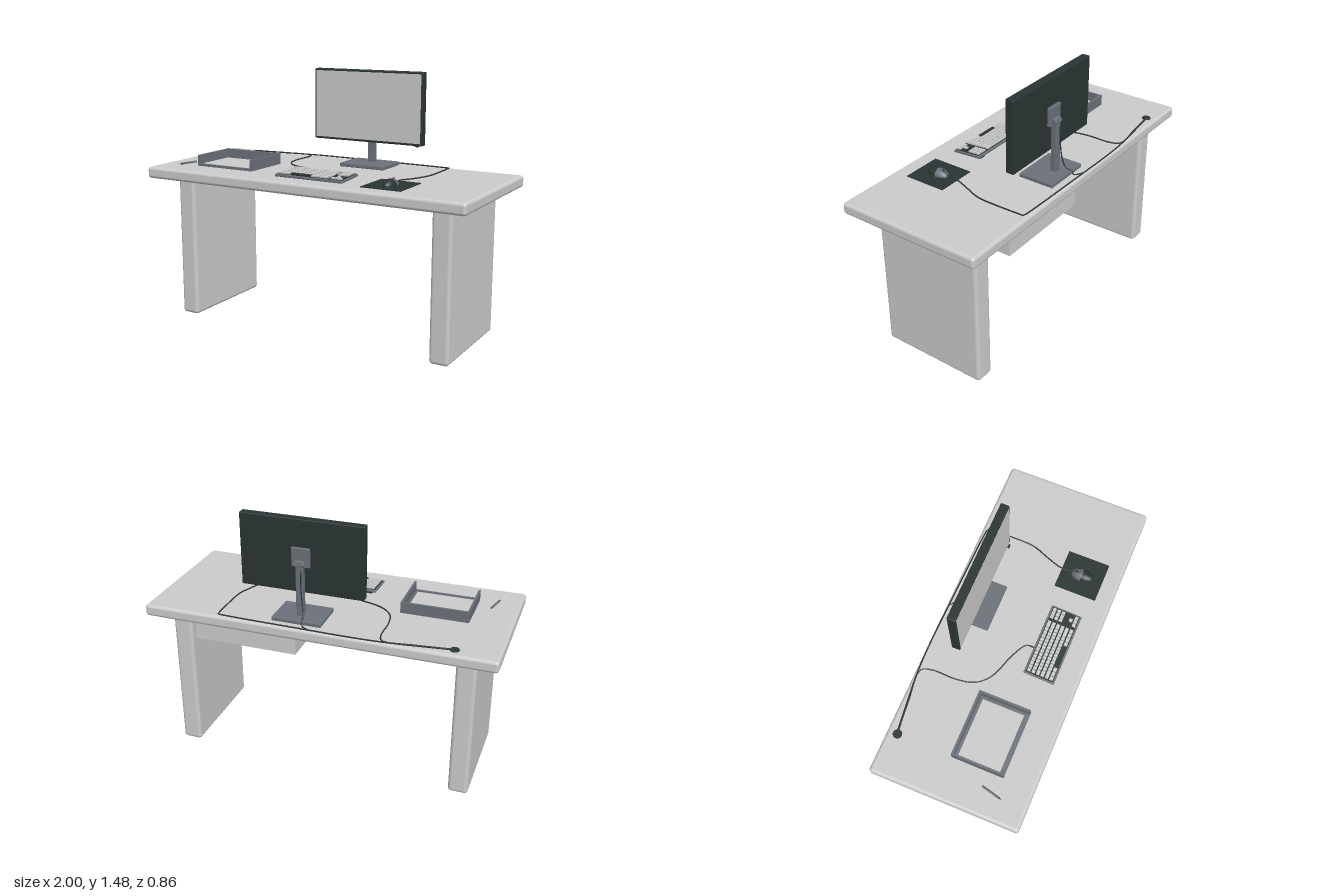
import * as THREE from 'three';
import { RoundedBoxGeometry } from 'three/addons/geometries/RoundedBoxGeometry.js';

const DESK = 0.912; // height of the work surface

export function createModel() {
  const root = new THREE.Group();
  root.name = 'computerDesk';
  const material = (name, color) => {
    const m = new THREE.MeshStandardMaterial({ color });
    m.name = name;
    return m;
  };
  const light = material('light grey', 0xcccccc);
  const grey = material('slate grey', 0x6c727a);
  const dark = material('charcoal', 0x2b3434);

  const group = (name, parent = root) => {
    const g = new THREE.Group();
    g.name = name;
    parent.add(g);
    return g;
  };
  const add = (parent, name, geometry, mat, x = 0, y = 0, z = 0) => {
    const m = new THREE.Mesh(geometry, mat);
    m.name = name;
    m.position.set(x, y, z);
    parent.add(m);
    return m;
  };
  // Box given by its limits on each axis, optionally with rounded edges
  const box = (parent, name, mat, [x0, x1], [y0, y1], [z0, z1], r = 0) => {
    const size = [x1 - x0, y1 - y0, z1 - z0];
    const g = r ? new RoundedBoxGeometry(...size, 4, r) : new THREE.BoxGeometry(...size);
    return add(parent, name, g, mat, (x0 + x1) / 2, (y0 + y1) / 2, (z0 + z1) / 2);
  };
  const cable = (name, points, r = 0.004) => {
    const curve = new THREE.CatmullRomCurve3(points.map(p => new THREE.Vector3(...p)), false, 'centripetal');
    return add(root, name, new THREE.TubeGeometry(curve, 90, r, 6), dark);
  };

  // Desk
  const desk = group('desk');
  box(desk, 'deskTop', light, [-1, 1], [0.845, DESK], [-0.43, 0.43], 0.018);
  for (const s of [-1, 1])
    box(desk, s < 0 ? 'rightLeg' : 'leftLeg', light, [s * 0.82 - 0.056, s * 0.82 + 0.056], [0, 0.847], [-0.34, 0.3], 0.02);
  box(desk, 'underDeskBox', light, [0.1, 0.695], [0.75, 0.85], [-0.415, -0.235]);

  // Monitor
  const monitor = group('monitor');
  const cx = 0.112;
  box(monitor, 'monitorCase', dark, [-0.24, 0.464], [1.058, 1.475], [-0.271, -0.222], 0.006);
  box(monitor, 'screen', light, [-0.229, 0.453], [1.071, 1.464], [-0.225, -0.2205]);
  box(monitor, 'powerButton', dark, [0.425, 0.445], [1.054, 1.066], [-0.225, -0.212]);
  for (let i = 0; i < 7; i++)
    box(monitor, 'rearVent', dark, [cx - 0.127 + i * 0.04, cx - 0.113 + i * 0.04], [1.365, 1.383], [-0.276, -0.268]);

  // Monitor stand
  const stand = group('monitorStand');
  box(stand, 'standBase', grey, [-0.03, 0.255], [DESK, 0.934], [-0.37, -0.155], 0.004);
  box(stand, 'standColumn', grey, [cx - 0.021, cx + 0.021], [0.93, 1.25], [-0.308, -0.274], 0.004);
  box(stand, 'mountPlate', grey, [cx - 0.052, cx + 0.052], [1.21, 1.318], [-0.286, -0.268], 0.003);
  const hinge = add(stand, 'hinge', new THREE.CylinderGeometry(0.018, 0.018, 0.056, 20), grey, cx, 1.23, -0.292);
  hinge.rotation.z = Math.PI / 2;
  cable('monitorCable', [
    [0.1, 1.26, -0.274], [0.1, 1.2, -0.306], [0.1, 1.1, -0.313], [0.09, 1.0, -0.323],
    [0.08, 0.95, -0.34], [0.075, 0.94, -0.375], [0.07, 0.917, -0.385], [0.03, 0.916, -0.415],
  ], 0.0035);

  // Paper tray with a low front lip
  const tray = group('paperTray');
  box(tray, 'trayFloor', grey, [-0.765, -0.38], [DESK, 0.919], [-0.05, 0.25]);
  box(tray, 'trayBack', grey, [-0.765, -0.38], [DESK, 0.976], [-0.05, -0.037]);
  box(tray, 'trayRightWall', grey, [-0.765, -0.753], [DESK, 0.976], [-0.05, 0.25]);
  box(tray, 'trayLeftWall', grey, [-0.392, -0.38], [DESK, 0.976], [-0.05, 0.25]);
  box(tray, 'trayLip', grey, [-0.765, -0.38], [DESK, 0.926], [0.238, 0.25]);
  box(tray, 'paper', light, [-0.748, -0.408], [0.919, 0.924], [-0.02, 0.222]);

  // Keyboard, tilted towards the front
  const keyboard = group('keyboard');
  keyboard.position.set(0.031, 0.926, 0.215);
  keyboard.rotation.x = 0.07;
  box(keyboard, 'keyboardCase', grey, [-0.215, 0.215], [-0.008, 0.006], [-0.09, 0.09], 0.004);
  box(keyboard, 'keyDeck', dark, [-0.207, 0.207], [0.003, 0.008], [-0.08, 0.08]);
  const key = (x, z, w, mat = light) =>
    box(keyboard, 'key', mat, [x + 0.002, x + w - 0.002], [0.006, 0.016], [z - 0.0095, z + 0.0095]);
  const U = 0.0215;
  const rows = [
    [1, 1, 1, 1, 1, 1, 1, 1, 1, 1, 1, 1, 1, 2],
    [1, 1, 1, 1, 1, 1, 1, 1, 1, 1, 1, 1, 1, 2],
    [1.5, 1, 1, 1, 1, 1, 1, 1, 1, 1, 1, 1, 1, 1.5],
    [1.75, 1, 1, 1, 1, 1, 1, 1, 1, 1, 1, 1, 2.25],
    [2.25, 1, 1, 1, 1, 1, 1, 1, 1, 1, 1, 2.75],
    [1.25, 1.25, 1.25, 6.25, 1.25, 1.25, 1.25, 1.25],
  ];
  rows.forEach((row, r) => {
    const z = -0.066 + r * 0.0264;
    let x = -0.203;
    for (const w of row) {
      key(x, z, w * U, w > 6 ? dark : light);
      x += w * U;
    }
    // Navigation and arrow keys
    const side = r === 3 ? [] : r === 4 ? [1] : [0, 1, 2];
    for (const c of side) key(0.135 + c * 0.0225, z, 0.0225);
  });
  for (const s of [-1, 1])
    box(root, 'keyboardFoot', dark, [0.031 + s * 0.17 - 0.02, 0.031 + s * 0.17 + 0.02], [DESK, 0.93], [0.135, 0.15]);

  // Mouse and pad
  box(root, 'mousePad', dark, [0.372, 0.606], [DESK, 0.917], [0.09, 0.336]);
  const mouse = group('mouse');
  mouse.position.set(0.488, 0.916, 0.217);
  const dome = (start, length) => new THREE.SphereGeometry(1, 24, 10, start, length, 0, Math.PI / 2);
  const shell = add(mouse, 'mouseBody', dome(0, Math.PI), dark);
  shell.scale.set(0.037, 0.034, 0.068);
  const gap = 0.06;
  for (const [name, start] of [['rightButton', Math.PI + Math.PI / 2 + gap], ['leftButton', Math.PI + gap]]) {
    const button = add(mouse, name, dome(start, Math.PI / 2 - 2 * gap), grey);
    button.scale.set(0.037, 0.034, 0.068);
  }
  const core = add(mouse, 'mouseCore', dome(0, Math.PI * 2), dark);
  core.scale.set(0.0355, 0.0325, 0.066);
  const wheel = add(mouse, 'scrollWheel', new THREE.CylinderGeometry(0.01, 0.01, 0.007, 16), dark, 0, 0.025, -0.035);
  wheel.rotation.z = Math.PI / 2;

  // Pen
  const pen = group('pen');
  pen.position.set(-0.86, 0.918, 0.222);
  pen.rotation.set(Math.PI / 2, 0, 0.235);
  add(pen, 'penBarrel', new THREE.CylinderGeometry(0.006, 0.006, 0.105, 12), grey, 0, -0.008, 0);
  add(pen, 'penTip', new THREE.CylinderGeometry(0.001, 0.006, 0.02, 12).rotateX(0), dark, 0, 0.0545, 0);

  // Cable grommet and desk cables
  add(root, 'cableGrommet', new THREE.CylinderGeometry(0.024, 0.026, 0.007, 24), dark, -0.76, DESK + 0.003, -0.37);
  const y = DESK + 0.004;
  cable('keyboardCable', [
    [-0.025, 0.925, 0.13], [-0.027, y, 0.08], [-0.1, y, 0.035], [-0.27, y, -0.03], [-0.335, y, -0.1],
    [-0.358, y, -0.2], [-0.36, y, -0.35], [-0.385, y, -0.405], [-0.57, y, -0.392], [-0.76, y, -0.37],
  ]);
  cable('mouseCable', [
    [0.488, 0.925, 0.155], [0.489, 0.92, 0.08], [0.515, y, 0], [0.55, y, -0.09], [0.56, y, -0.14],
    [0.56, y, -0.39], [0.559, y, -0.4], [0.55, y, -0.403], [0.1, y, -0.416], [-0.35, y, -0.418], [-0.76, y, -0.374],
  ]);

  return root;
}
